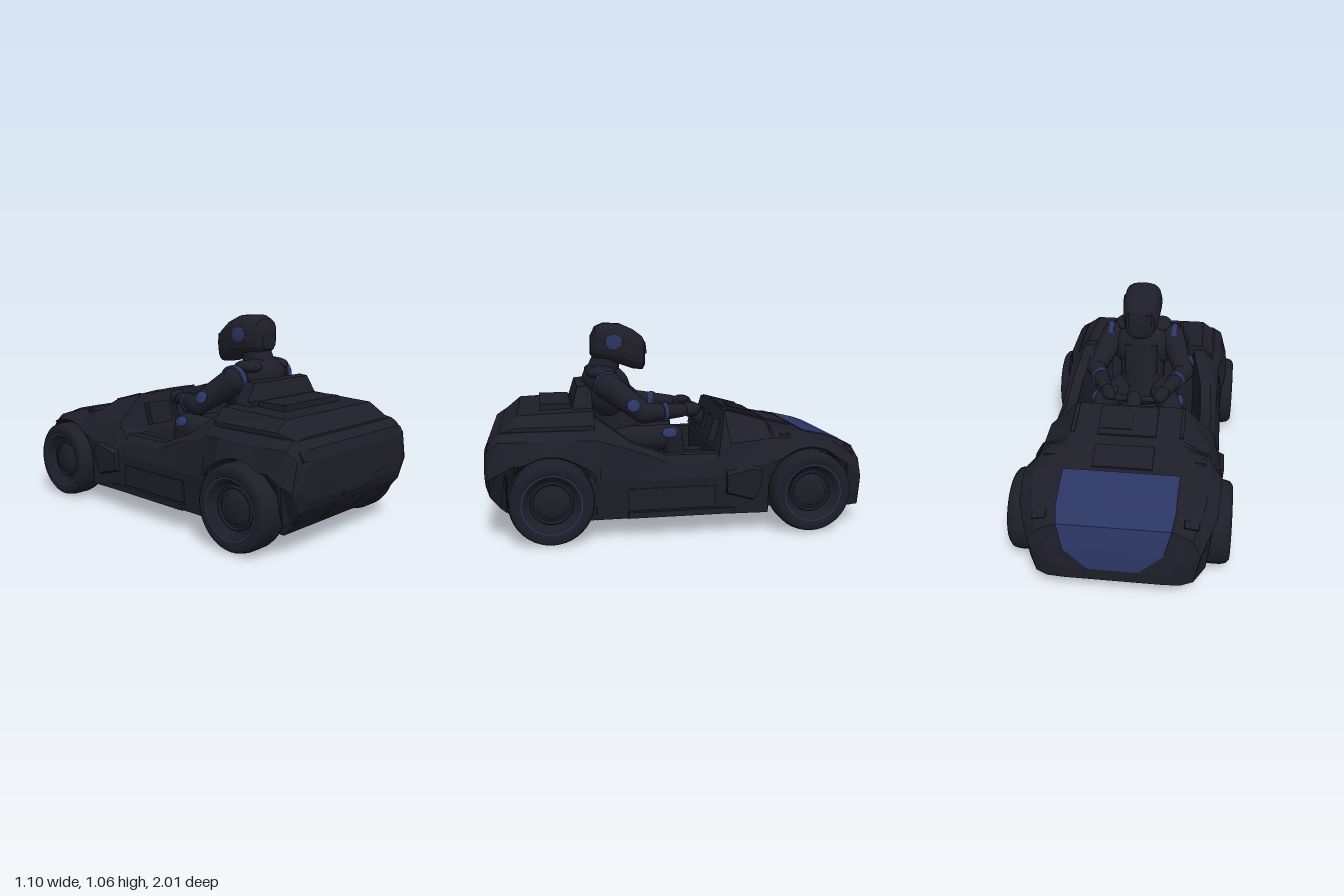
import * as THREE from 'three';

const dark = new THREE.MeshStandardMaterial({ color: 0x1e1e29 });
dark.name = 'charcoal';
const blue = new THREE.MeshStandardMaterial({ color: 0x2b3563 });
blue.name = 'navy blue';
const V = (a) => new THREE.Vector3(...a);

export function createModel() {
  const model = new THREE.Group();

  function add(name, geo, mat = dark, pos = [0, 0, 0], rot = [0, 0, 0], scale = [1, 1, 1]) {
    const m = new THREE.Mesh(geo, mat);
    m.name = name;
    m.position.set(...pos);
    m.rotation.set(...rot);
    m.scale.set(...scale);
    model.add(m);
    return m;
  }
  const box = (name, size, pos, rot) => add(name, new THREE.BoxGeometry(...size), dark, pos, rot);
  const ball = (name, size, pos, mat, rot) => add(name, new THREE.SphereGeometry(1, 20, 14), mat, pos, rot, size);

  // Tapered limb between two points, with round ends
  function limb(name, a, b, ra, rb, mat = dark, ends = true) {
    const p = V(a), q = V(b), d = q.clone().sub(p);
    const m = add(name, new THREE.CylinderGeometry(rb, ra, d.length(), 14), mat, p.clone().add(q).multiplyScalar(0.5).toArray());
    m.quaternion.setFromUnitVectors(V([0, 1, 0]), d.normalize());
    if (ends) {
      ball(name + 'Start', [ra, ra, ra], a, mat);
      ball(name + 'End', [rb, rb, rb], b, mat);
    }
  }

  // Solid skinned over rings of [x, y]; stations are {z, ring}, z rising, rings counterclockwise
  function loft(name, stations, mat = dark) {
    const pos = [], idx = [], n = stations[0].ring.length, last = (stations.length - 1) * n;
    stations.forEach(({ z, ring }) => ring.forEach(([x, y]) => pos.push(x, y, z)));
    for (let s = 0; s < last; s += n) for (let j = 0; j < n; j++) {
      const a = s + j, b = s + (j + 1) % n;
      idx.push(a, b, a + n, b, b + n, a + n);
    }
    for (let j = 1; j < n - 1; j++) idx.push(0, j + 1, j, last, last + j, last + j + 1);
    const g = new THREE.BufferGeometry();
    g.setAttribute('position', new THREE.Float32BufferAttribute(pos, 3));
    g.setIndex(idx);
    const flat = g.toNonIndexed();
    flat.computeVertexNormals();
    return add(name, flat, mat);
  }
  const mirrored = (half) => [...half, ...half.map(([x, y]) => [-x, y]).reverse()];
  const sided = (s, r) => (s > 0 ? r : r.map(([x, y]) => [-x, y]).reverse());

  // Bodywork from half sections [z, xa,ya, xm,ym, xs,ys, xt,yt], its lower edge lifted over the wheel
  function bodywork(name, keys, wheelZ) {
    const zs = keys.map((k) => k[0]);
    zs.push(wheelZ - 0.219, wheelZ + 0.219);
    for (let i = 0; i <= 24; i++) zs.push(wheelZ - 0.2179 * Math.cos((i / 24) * Math.PI));
    const z0 = keys[0][0], z1 = keys[keys.length - 1][0];
    const list = [...new Set(zs)].filter((z) => z >= z0 && z <= z1).sort((a, b) => a - b);
    loft(name, list.map((z) => {
      const i = z >= z1 ? keys.length - 2 : keys.findIndex((k) => k[0] > z) - 1;
      const t = (z - keys[i][0]) / (keys[i + 1][0] - keys[i][0]);
      const v = keys[i].map((a, j) => a + (keys[i + 1][j] - a) * t);
      const d = 0.218 ** 2 - (z - wheelZ) ** 2;
      const ya = d > 0 ? Math.max(v[2], 0.21 + Math.sqrt(d)) : v[2];
      const ym = Math.max(v[4], ya + 0.01);
      return { z, ring: mirrored([[v[1], ya], [v[3], ym], [v[5], Math.max(v[6], ym + 0.005)], [v[7], v[8]]]) };
    }));
  }

  bodywork('frontBody', [
    [-1, 0.24, 0.1, 0.27, 0.13, 0.26, 0.16, 0.14, 0.17],
    [-0.985, 0.32, 0.09, 0.34, 0.2, 0.32, 0.25, 0.25, 0.27],
    [-0.955, 0.38, 0.09, 0.41, 0.25, 0.37, 0.34, 0.28, 0.385],
    [-0.87, 0.43, 0.1, 0.455, 0.33, 0.4, 0.4, 0.29, 0.43],
    [-0.8, 0.46, 0.1, 0.48, 0.37, 0.42, 0.44, 0.29, 0.455],
    [-0.67, 0.48, 0.1, 0.49, 0.4, 0.43, 0.475, 0.29, 0.485],
    [-0.48, 0.48, 0.1, 0.49, 0.38, 0.43, 0.48, 0.29, 0.525],
    [-0.45, 0.48, 0.1, 0.49, 0.37, 0.43, 0.48, 0.29, 0.55],
    [-0.23, 0.47, 0.1, 0.48, 0.32, 0.44, 0.46, 0.29, 0.61],
    [-0.17, 0.46, 0.1, 0.475, 0.3, 0.44, 0.4, 0.29, 0.41],
  ], -0.64);
  bodywork('rearBody', [
    [0.44, 0.46, 0.1, 0.48, 0.33, 0.45, 0.5, 0.4, 0.54],
    [0.55, 0.48, 0.1, 0.5, 0.4, 0.47, 0.51, 0.42, 0.55],
    [0.86, 0.46, 0.13, 0.5, 0.4, 0.47, 0.51, 0.42, 0.55],
    [0.93, 0.41, 0.17, 0.49, 0.36, 0.46, 0.51, 0.41, 0.54],
    [0.98, 0.41, 0.23, 0.47, 0.33, 0.44, 0.47, 0.38, 0.51],
    [1, 0.38, 0.28, 0.43, 0.34, 0.4, 0.44, 0.34, 0.46],
  ], 0.68);

  // Raised rear deck, its plate and the hump behind the driver
  loft('rearDeck', [[0.46, 0.41, 0.35, 0.635], [0.84, 0.41, 0.34, 0.62], [0.93, 0.38, 0.31, 0.55]]
    .map(([z, w, t, y]) => ({ z, ring: mirrored([[w, 0.52], [w, Math.min(0.57, y - 0.01)], [t, y]]) })));
  box('deckPlate', [0.44, 0.035, 0.16], [0, 0.638, 0.65]);
  loft('seatHump', [[0.46, 0.28, 0.21, 0.72], [0.49, 0.28, 0.21, 0.745], [0.535, 0.28, 0.21, 0.74], [0.56, 0.27, 0.22, 0.66]]
    .map(([z, w, t, y]) => ({ z, ring: mirrored([[w, 0.58], [w - 0.02, 0.65], [t, y]]) })));

  // Underbody and inner hull
  box('floorPan', [0.74, 0.05, 1.76], [0, 0.125, -0.04]);
  loft('frontHull', [[-0.93, 0.36], [-0.87, 0.4], [-0.8, 0.44], [-0.24, 0.44]]
    .map(([z, y]) => ({ z, ring: mirrored([[0.37, 0.1], [0.37, y]]) })));
  loft('rearHull', [[0.44, 0.1, 0.45], [0.86, 0.09, 0.45], [0.94, 0.18, 0.45], [0.985, 0.25, 0.4]]
    .map(([z, a, b]) => ({ z, ring: mirrored([[0.37, a], [0.39, a + 0.06], [0.37, b]]) })));
  for (let i = -2; i <= 2; i++) box('floorRib', [0.015, 0.01, 1.7], [i * 0.14, 0.097, 0]);
  // Sloping centre panel under the tail
  loft('rearCentrePanel', [[0.85, 0.14, 0.085], [0.94, 0.12, 0.17], [0.998, 0.1, 0.265]]
    .map(([z, w, y]) => ({ z, ring: mirrored([[w, y], [w, y + 0.025]]) })));

  for (const s of [1, -1]) {
    // Cockpit sill rising and closing in toward the rear
    loft('sill', [[-0.2, 0.41, 0.42, 0.36], [0.1, 0.41, 0.42, 0.36], [0.28, 0.48, 0.41, 0.35], [0.45, 0.6, 0.37, 0.3], [0.5, 0.62, 0.35, 0.28]]
      .map(([z, y, xo, xi]) => ({
        z, ring: sided(s, [[0.46, 0.1], [0.475, 0.3], [0.45, Math.min(y - 0.03, 0.5)], [xo, y], [xi, y], [xi, 0.1]]),
      })));
    box('sidePanel', [0.02, 0.11, 0.45], [s * 0.468, 0.2, 0.08]);
    box('sideStep', [0.03, 0.03, 0.55], [s * 0.467, 0.12, 0.03]);
    loft('sideFlare', [[-0.38, 0.24, 0.36], [-0.34, 0.16, 0.37], [-0.2, 0.2, 0.34]]
      .map(([z, a, b]) => ({ z, ring: sided(s, [[0.5, a + 0.02], [0.505, b - 0.03], [0.45, b], [0.45, a]]) })));
    box('tailLamp', [0.12, 0.045, 0.02], [s * 0.355, 0.48, 0.978], [-0.5, 0, 0]);
    box('rearCrease', [0.1, 0.012, 0.012], [s * 0.19, 0.31, 0.996], [0, 0, s * 0.2]);
    box('frontLamp', [0.07, 0.012, 0.04], [s * 0.36, 0.39, -0.9], [-0.5, 0, -s * 0.3]);
    box('fenderVent', [0.06, 0.012, 0.05], [s * 0.38, 0.49, -0.53]);
    box('hoodRail', [0.02, 0.012, 0.2], [s * 0.28, 0.581, -0.34], [-0.266, 0, 0]);
  }

  // Blue hood panel wrapping down over the nose
  loft('hoodPanel', [[-1, 0.17, 0.12], [-0.985, 0.27, 0.24], [-0.955, 0.385, 0.27], [-0.87, 0.43, 0.285], [-0.8, 0.455, 0.285], [-0.66, 0.487, 0.29]]
    .map(([z, y, w]) => ({ z: z - 0.004, ring: mirrored([[w, y - 0.003], [w, y + 0.005]]) })), blue);

  // Scuttle panels and dashboard
  box('scuttlePanel', [0.3, 0.02, 0.2], [0, 0.58, -0.345], [-0.266, 0, 0]);
  box('scuttleLowerPanel', [0.3, 0.02, 0.15], [0, 0.508, -0.565], [-0.21, 0, 0]);
  box('scuttleRidge', [0.16, 0.02, 0.12], [0.06, 0.583, -0.35], [-0.266, 0, 0]);
  for (const x of [-0.2, 0, 0.2]) box('dashPod', [0.15, 0.12, 0.06], [x, 0.5, -0.19], [-0.28, 0, 0]);

  // Wheels: tyre and hub in one turned profile, with a thin ring
  const tyre = new THREE.LatheGeometry([[0, -0.08], [0.13, -0.08], [0.185, -0.085], [0.203, -0.07], [0.21, -0.04], [0.21, 0.04], [0.203, 0.07],
    [0.185, 0.085], [0.14, 0.08], [0.13, 0.055], [0.122, 0.06], [0.115, 0.035], [0.075, 0.04], [0.07, 0.06], [0, 0.062]]
    .map(([r, y]) => new THREE.Vector2(r, y)), 40).rotateZ(-Math.PI / 2);
  for (const s of [1, -1]) for (const z of [-0.64, 0.68]) {
    const turn = [0, s > 0 ? 0 : Math.PI, 0];
    add('wheel', tyre, dark, [s * 0.463, 0.21, z], turn);
    add('wheelRing', new THREE.RingGeometry(0.144, 0.149, 40).rotateY(Math.PI / 2), blue, [s * 0.546, 0.21, z], turn);
    add('rimRing', new THREE.TorusGeometry(0.1, 0.008, 6, 32).rotateY(Math.PI / 2), dark, [s * 0.503, 0.21, z]);
  }

  // Seat and steering yoke
  box('seatBack', [0.4, 0.5, 0.07], [0, 0.45, 0.45], [0.2, 0, 0]);
  box('seatBase', [0.4, 0.14, 0.36], [0, 0.28, 0.24]);
  box('centreConsole', [0.1, 0.2, 0.3], [0, 0.25, -0.08]);
  limb('steeringYoke', [-0.14, 0.575, -0.1], [0.14, 0.575, -0.1], 0.016, 0.016);
  limb('steeringColumn', [0, 0.575, -0.1], [0, 0.48, -0.22], 0.04, 0.045);

  // Driver's trunk
  ball('hips', [0.17, 0.1, 0.13], [0, 0.42, 0.3]);
  limb('torso', [0, 0.45, 0.31], [0, 0.7, 0.37], 0.13, 0.135);
  ball('chest', [0.19, 0.15, 0.12], [0, 0.68, 0.36]);
  ball('upperBack', [0.16, 0.1, 0.1], [0, 0.75, 0.4]);
  limb('neck', [0, 0.78, 0.39], [0, 0.88, 0.36], 0.09, 0.075);
  // Helmet: rounded-square rings from chin guard to back, [z, top, bottom, half width]
  loft('helmet', [[0.155, 0.96, 0.825, 0.05], [0.168, 0.985, 0.805, 0.08], [0.22, 1.025, 0.81, 0.098], [0.29, 1.056, 0.835, 0.106],
    [0.38, 1.06, 0.855, 0.104], [0.425, 1.04, 0.865, 0.085], [0.45, 0.99, 0.885, 0.05]].map(([z, top, low, w]) => ({
    z,
    ring: Array.from({ length: 20 }, (_, i) => {
      const a = ((i + 0.5) / 20) * Math.PI * 2, c = Math.cos(a), k = Math.sin(a);
      return [w * Math.sign(c) * Math.abs(c) ** 0.7, (top + low) / 2 + ((top - low) / 2) * Math.sign(k) * Math.abs(k) ** 0.7];
    }),
  })));
  box('visor', [0.13, 0.06, 0.012], [0, 0.925, 0.158], [0.1, 0, 0]);

  // Band that wraps over the top of a shoulder from back to front
  const shoulderBand = new THREE.CylinderGeometry(0.077, 0.077, 0.03, 28, 1, false, -0.4, Math.PI + 1).rotateZ(Math.PI / 2);

  for (const s of [1, -1]) {
    ball('helmetPatch', [0.005, 0.04, 0.046], [s * 0.105, 0.96, 0.33], blue);
    // Arms reaching for the yoke
    const shoulder = [s * 0.17, 0.735, 0.37], elbow = [s * 0.255, 0.6, 0.19], wrist = [s * 0.17, 0.595, -0.02];
    limb('upperArm', shoulder, elbow, 0.073, 0.055);
    limb('forearm', elbow, wrist, 0.055, 0.036);
    limb('cuff', [s * 0.22, 0.597, 0.095], [s * 0.212, 0.597, 0.07], 0.052, 0.05, blue, false);
    ball('hand', [0.04, 0.04, 0.06], [s * 0.145, 0.595, -0.08], dark, [0, s * 0.4, 0]);
    ball('thumb', [0.015, 0.02, 0.035], [s * 0.105, 0.615, -0.08], dark);
    ball('shoulderPad', [0.06, 0.035, 0.08], [s * 0.105, 0.8, 0.4], dark);
    add('shoulderStripe', shoulderBand, blue, [s * 0.178, 0.735, 0.37], [0, 0, -s * 0.12]);
    ball('elbowPatch', [0.012, 0.035, 0.035], [s * 0.29, 0.645, 0.25], blue, [0, 0, s * 0.5]);
    box('harnessStrap', [0.035, 0.17, 0.015], [s * 0.075, 0.64, 0.245], [0.1, 0, 0]);
    // Legs bent into the footwell
    const knee = [s * 0.195, 0.46, 0.04], ankle = [s * 0.18, 0.21, -0.02];
    limb('thigh', [s * 0.1, 0.42, 0.3], knee, 0.085, 0.065);
    limb('shin', knee, ankle, 0.064, 0.045);
    ball('kneePatch', [0.014, 0.03, 0.042], [s * 0.247, 0.49, 0.055], blue, [0, 0, s * 0.5]);
    limb('shinPatch', [s * 0.189, 0.37, 0.018], [s * 0.185, 0.3, 0.002], 0.061, 0.057, blue, false);
    ball('boot', [0.045, 0.04, 0.09], [s * 0.18, 0.19, -0.06], dark);
  }
  return model;
}
